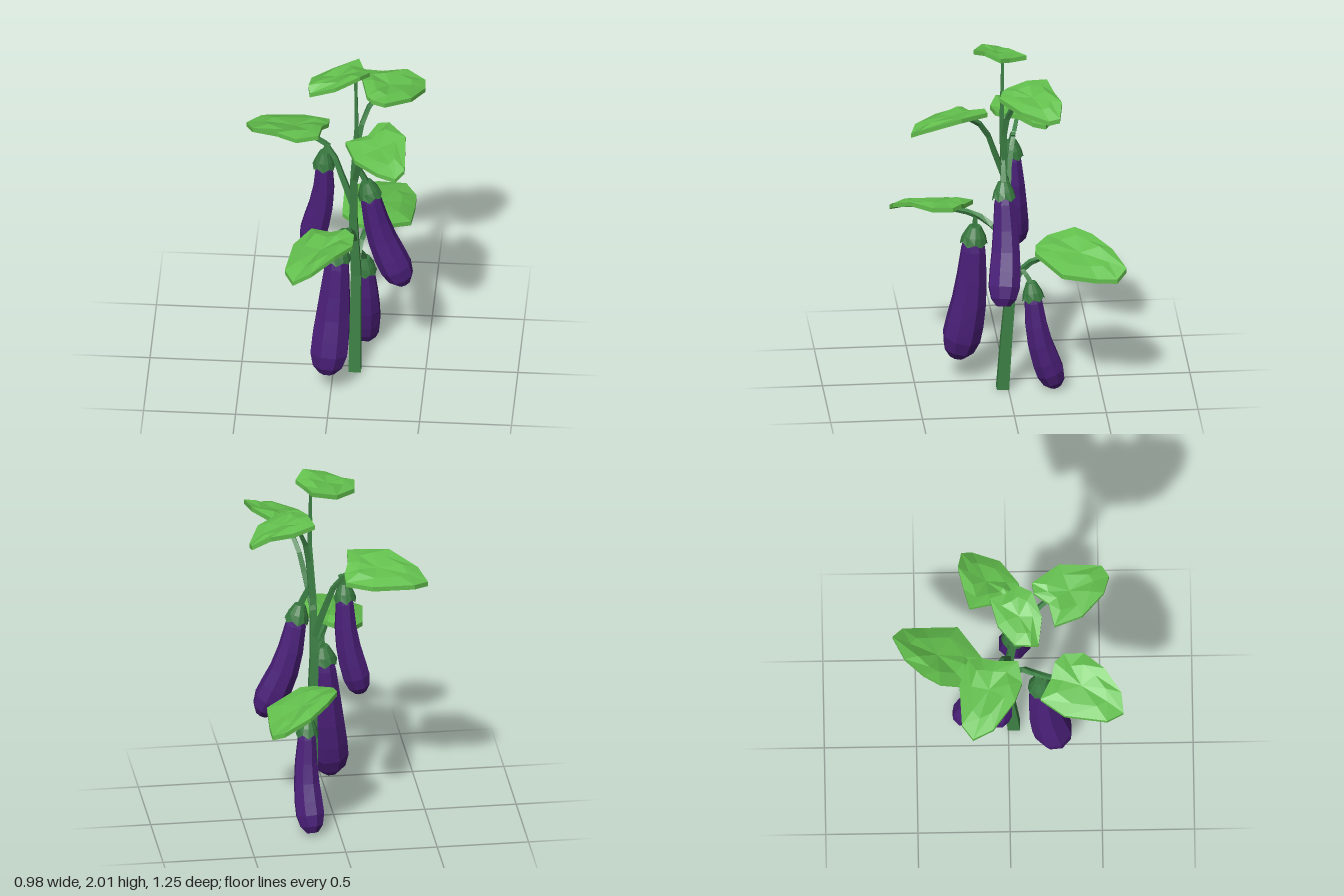
import * as THREE from 'three';

const flat = (name, color) => {
  const m = new THREE.MeshStandardMaterial({ color, flatShading: true });
  m.name = name;
  return m;
};

const buildGeometry = (pos, idx) => {
  const g = new THREE.BufferGeometry();
  g.setAttribute('position', new THREE.Float32BufferAttribute(pos, 3));
  g.setIndex(idx);
  g.computeVertexNormals();
  return g;
};

// Closed tube through points; stations are [position along curve, radius]
function taperedTube(points, stations, sides) {
  const curve = new THREE.CatmullRomCurve3(points.map(p => new THREE.Vector3(...p)));
  const pos = [], idx = [], n = stations.length;
  stations.forEach(([t, r]) => {
    const c = curve.getPointAt(t), d = curve.getTangentAt(t);
    const u = new THREE.Vector3(0, 0, 1).addScaledVector(d, -d.z).normalize();
    const v = new THREE.Vector3().crossVectors(d, u);
    for (let k = 0; k < sides; k++) {
      const a = (k + 0.5) / sides * Math.PI * 2;
      const p = c.clone().addScaledVector(u, Math.cos(a) * r).addScaledVector(v, Math.sin(a) * r);
      pos.push(p.x, Math.max(0, p.y), p.z);
    }
  });
  for (let i = 0; i < n - 1; i++) for (let k = 0; k < sides; k++) {
    const a = i * sides + k, b = i * sides + (k + 1) % sides;
    idx.push(a, b, b + sides, a, b + sides, a + sides);
  }
  for (let k = 1; k < sides - 1; k++) {
    const e = (n - 1) * sides;
    idx.push(0, k + 1, k, e, e + k, e + k + 1);
  }
  return buildGeometry(pos, idx);
}

const twig = (points, r0, r1) =>
  taperedTube(points, [0, 0.2, 0.4, 0.6, 0.8, 1].map(t => [t, r0 + (r1 - r0) * t]), 4);

// Thin rippled slab on a sloping plane; outline points are [x, z, optional lift]
function leafGeometry({ outline, y, gx, gz }) {
  const n = outline.length;
  let cx = 0, cz = 0, area = 0;
  outline.forEach(([x, z], i) => {
    const [x2, z2] = outline[(i + 1) % n];
    cx += x / n; cz += z / n; area += x * z2 - x2 * z;
  });
  const rim = area > 0 ? [...outline].reverse() : outline;
  const pos = [], idx = [], size = 2 * n + 1;
  for (const drop of [0, 0.026]) {
    for (const s of [1, 0.6]) rim.forEach(([px, pz, lift = 0], i) => {
      const x = cx + (px - cx) * s, z = cz + (pz - cz) * s;
      const ripple = s === 1 ? (i % 3 - 1) * 0.01 - 0.006 : 0.014 - (i % 2) * 0.01;
      pos.push(x, y + gx * (x - cx) + gz * (z - cz) + lift * s + ripple - drop, z);
    });
    pos.push(cx, y - drop, cz);
  }
  for (let i = 0; i < n; i++) {
    const j = (i + 1) % n;
    const tris = [[i, j, n + j], [i, n + j, n + i], [n + i, n + j, 2 * n]];
    tris.forEach(([a, b, c]) => idx.push(a, b, c, size + a, size + c, size + b));
    idx.push(i, size + i, size + j, i, size + j, j);
  }
  return buildGeometry(pos, idx);
}

// Toothed cap sitting on the shoulder of a fruit
function calyxGeometry(r, h) {
  const g = new THREE.LatheGeometry(
    [[r, 0], [r * 0.82, h * 0.5], [r * 0.45, h], [0, h]].map(p => new THREE.Vector2(...p)), 12);
  const p = g.attributes.position;
  for (let i = 1; i <= 12; i += 2) p.setY(i * 4, h * 0.2);
  return g;
}

export function createModel() {
  const leafGreen = flat('leaf green', 0x63c04d);
  const stemGreen = flat('stem green', 0x3d8045);
  const calyxGreen = flat('calyx green', 0x37783f);
  calyxGreen.side = THREE.DoubleSide;
  const purple = flat('fruit purple', 0x4a1f78);
  const model = new THREE.Group();
  const add = (name, geo, mat, parent = model) => {
    const m = new THREE.Mesh(geo, mat);
    m.name = name;
    parent.add(m);
    return m;
  };

  // Main stem
  add('mainStem', taperedTube(
    [[0.117, 0, 0.03], [0.117, 0.3, 0.01], [0.12, 0.6, -0.015], [0.105, 1, 0.0], [0.11, 1.3, 0.025], [0.125, 1.6, 0.035], [0.12, 1.95, 0.03]],
    [[0, 0.047], [0.15, 0.043], [0.31, 0.038], [0.5, 0.031], [0.66, 0.025], [0.82, 0.016], [1, 0.01]], 4), stemGreen);

  // Leaf stalks
  const stalks = {
    lowerBack: [[0.12, 0.57, -0.01], [0.13, 0.7, -0.07], [0.15, 0.77, -0.15], [0.18, 0.8, -0.25]],
    upperRight: [[0.115, 1.3, 0.02], [0.14, 1.55, 0.02], [0.18, 1.69, -0.02], [0.25, 1.77, -0.08]],
    upperFront: [[0.11, 1.22, 0.01], [0.15, 1.42, 0.08], [0.19, 1.58, 0.14], [0.25, 1.67, 0.24]],
    lowerFront: [[0.115, 0.83, -0.01], [0.09, 0.95, 0.08], [0.04, 1, 0.17], [0.0, 1.02, 0.29]],
    middleLeft: [[0.105, 1.07, 0.0], [0.04, 1.26, -0.01], [-0.03, 1.42, -0.04], [-0.14, 1.48, -0.07]],
  };
  for (const [name, pts] of Object.entries(stalks)) add(name + 'Stalk', twig(pts, 0.024, 0.014), stemGreen);

  // Leaves: outline in x and z, centre height, slopes along x and z
  const leaves = {
    top: { y: 1.955, gx: 0.18, gz: 0.05, outline: [[-0.13, 0.12], [-0.12, 0.03], [-0.01, -0.06], [0.13, -0.1],
      [0.16, -0.01], [0.2, 0.05, 0.015], [0.15, 0.13, 0.025], [0.02, 0.18, 0.01], [-0.12, 0.16, -0.01]] },
    lowerBack: { y: 0.832, gx: -0.33, gz: 0.04, outline: [[0.03, -0.22, -0.03], [0.03, -0.37], [0.09, -0.46, 0.015],
      [0.2, -0.56, 0.02], [0.35, -0.625], [0.41, -0.57, -0.01], [0.41, -0.46], [0.4, -0.27], [0.2, -0.14, -0.01], [0.12, -0.15, -0.02]] },
    upperRight: { y: 1.79, gx: -0.24, gz: 0, outline: [[0.18, 0.01], [0.15, -0.1], [0.13, -0.21], [0.25, -0.24, 0.01],
      [0.38, -0.27, 0.02], [0.48, -0.25], [0.485, -0.19], [0.42, -0.04], [0.28, 0.06], [0.21, 0.04]] },
    upperFront: { y: 1.685, gx: 0.14, gz: -0.21, outline: [[0.08, 0.25], [0.14, 0.4], [0.27, 0.52], [0.37, 0.55],
      [0.42, 0.51, 0.01], [0.41, 0.28, 0.01], [0.31, 0.13], [0.25, 0.14], [0.2, 0.22, -0.015]] },
    lowerFront: { y: 1.04, gx: 0.24, gz: -0.06, outline: [[-0.11, 0.17], [-0.2, 0.3], [-0.23, 0.53], [-0.18, 0.62],
      [-0.08, 0.61, 0.02], [0.04, 0.52, 0.03], [0.13, 0.41, 0.02], [0.13, 0.3], [0.08, 0.25], [0, 0.23]] },
    middleLeft: { y: 1.505, gx: 0.08, gz: 0.25, outline: [[-0.04, -0.22], [-0.18, -0.27], [-0.41, -0.26], [-0.49, -0.2],
      [-0.45, -0.09], [-0.31, 0.03, 0.01], [-0.2, 0.07], [-0.08, 0.05], [-0.07, -0.07], [-0.04, -0.15]] },
  };
  for (const [name, leaf] of Object.entries(leaves)) add(name + 'Leaf', leafGeometry(leaf), leafGreen);

  // Hanging fruits: path from shoulder to tip, widest radius, start of the little stalk
  const profile = [[0, 0.34], [0.06, 0.51], [0.14, 0.64], [0.36, 0.79], [0.55, 0.9], [0.72, 0.99], [0.84, 1], [0.94, 0.8], [1, 0.42]];
  const fruits = {
    front: { r: 0.108, path: [[0.035, 0.9, 0.175], [0.01, 0.5, 0.2], [-0.02, 0.14, 0.265]], from: [0.04, 1, 0.17] },
    right: { r: 0.09, path: [[0.185, 1.22, 0.03], [0.255, 0.9, 0.025], [0.385, 0.6, 0.05]], from: [0.115, 1.37, 0.03] },
    left: { r: 0.078, path: [[-0.055, 1.36, -0.035], [-0.065, 1.08, -0.05], [-0.14, 0.75, -0.06]], from: [-0.03, 1.44, -0.04] },
    back: { r: 0.08, path: [[0.16, 0.61, -0.125], [0.17, 0.3, -0.165], [0.15, 0.018, -0.257]], from: [0.135, 0.71, -0.07] },
  };
  for (const [name, { r, path, from }] of Object.entries(fruits)) {
    const group = new THREE.Group();
    group.name = name + 'Fruit';
    model.add(group);
    add('body', taperedTube(path, profile.map(([t, s]) => [t, r * s]), 8), purple, group);

    const top = new THREE.Vector3(...path[0]);
    const up = top.clone().sub(new THREE.Vector3(...path[1])).normalize();
    const calyx = add('calyx', calyxGeometry(r * 0.46 + 0.026, 0.105), calyxGreen, group);
    calyx.quaternion.setFromUnitVectors(new THREE.Vector3(0, 1, 0), up);
    calyx.position.copy(top).addScaledVector(up, -0.075);
    const joint = top.clone().addScaledVector(up, 0.02);
    const bend = joint.clone().lerp(new THREE.Vector3(...from), 0.5).addScaledVector(up, 0.01);
    add('fruitStalk', twig([from, bend.toArray(), joint.toArray()], 0.015, 0.02), stemGreen, group);
  }
  return model;
}
